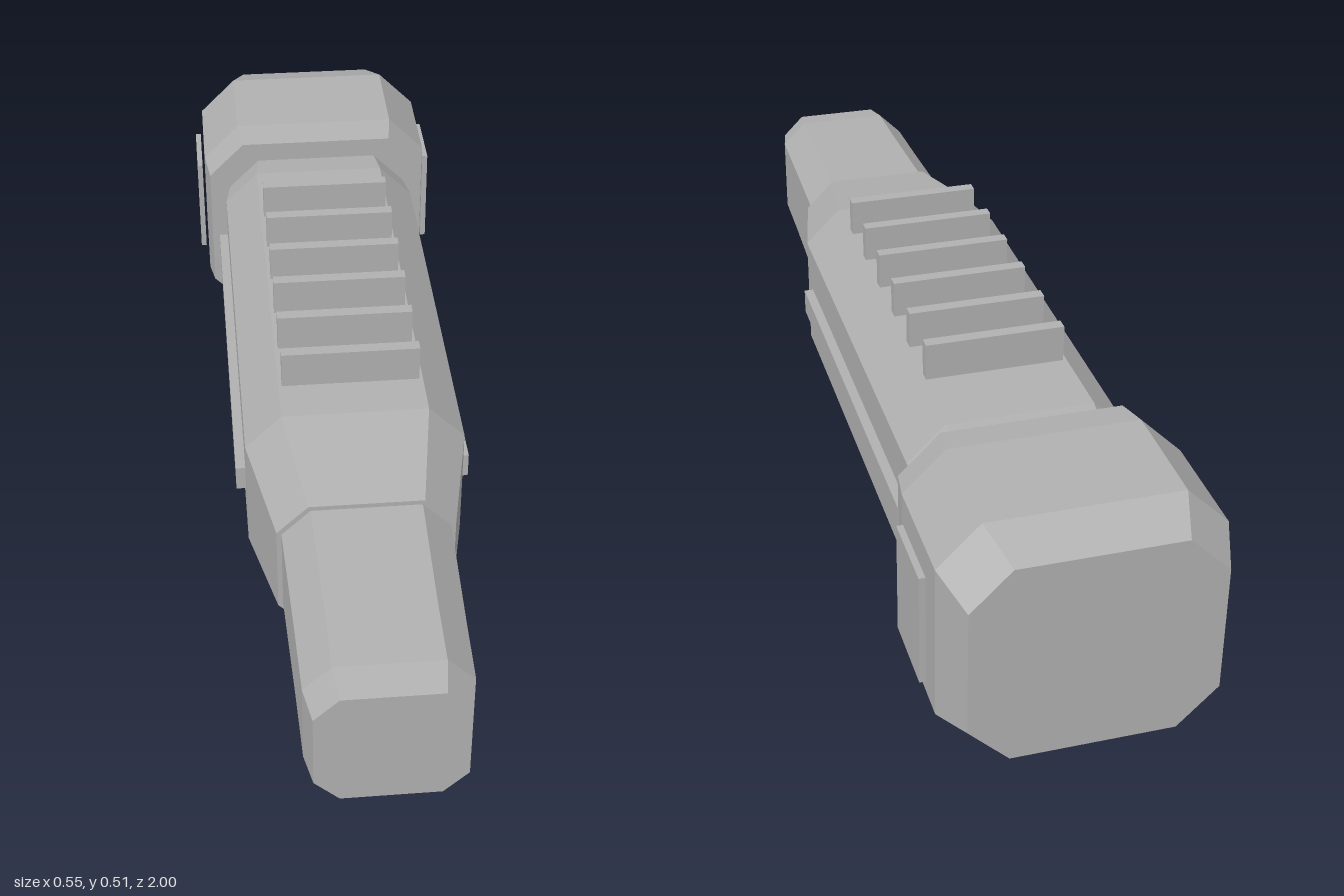
import * as THREE from 'three';

const CENTER_Y = 0.246;

// Closed solid from chamfered-rectangle sections [z, halfWidth, halfHeight, chamfer], ordered front to back
function chamferedLoft(sections) {
  const rings = sections.map(([z, w, h, c]) => [
    [w, c - h], [w, h - c], [w - c, h], [c - w, h],
    [-w, h - c], [-w, c - h], [c - w, -h], [w - c, -h],
  ].map(([x, y]) => [x, y + CENTER_Y, z]));
  const pos = [];
  const tri = (...corners) => corners.forEach((p) => pos.push(...p));
  for (let i = 0; i < rings.length - 1; i++) {
    const a = rings[i], b = rings[i + 1];
    for (let k = 0; k < 8; k++) {
      const n = (k + 1) % 8;
      tri(a[k], b[k], b[n]);
      tri(a[k], b[n], a[n]);
    }
  }
  const first = rings[0], last = rings[rings.length - 1];
  for (let k = 1; k < 7; k++) {
    tri(first[0], first[k], first[k + 1]);
    tri(last[0], last[k + 1], last[k]);
  }
  const geo = new THREE.BufferGeometry();
  geo.setAttribute('position', new THREE.Float32BufferAttribute(pos, 3));
  geo.computeVertexNormals();
  return geo;
}

export function createModel() {
  const model = new THREE.Group();
  model.name = 'handle';
  const grey = new THREE.MeshStandardMaterial({ color: 0xb0b0b0, flatShading: true });
  grey.name = 'grey';

  const add = (name, geo) => {
    const mesh = new THREE.Mesh(geo, grey);
    mesh.name = name;
    model.add(mesh);
  };
  // Box given by its extents on each axis
  const addBox = (name, [x0, x1], [y0, y1], [z0, z1]) => {
    const geo = new THREE.BoxGeometry(x1 - x0, y1 - y0, z1 - z0);
    geo.translate((x0 + x1) / 2, (y0 + y1) / 2, (z0 + z1) / 2);
    add(name, geo);
  };

  // Slim front nose
  add('nose', chamferedLoft([
    [1, 0.134, 0.1225, 0.045],
    [0.935, 0.147, 0.133, 0.05],
    [0.8, 0.15, 0.136, 0.052],
    [0.55, 0.157, 0.142, 0.054],
  ]));

  // Main body, flaring from the nose and tucking in at the rear
  add('body', chamferedLoft([
    [0.555, 0.166, 0.151, 0.059],
    [0.335, 0.212, 0.188, 0.071],
    [-0.55, 0.212, 0.188, 0.071],
    [-0.63, 0.2, 0.178, 0.067],
  ]));

  // Wide rear cap
  add('rearCap', chamferedLoft([
    [-0.622, 0.246, 0.222, 0.078],
    [-0.69, 0.256, 0.233, 0.079],
    [-0.91, 0.256, 0.233, 0.079],
    [-1, 0.225, 0.2, 0.075],
  ]));

  // Row of raised ribs on top
  for (let i = 0; i < 6; i++) {
    const z = 0.229 - i * 0.122;
    addBox('topRib', [-0.134, 0.134], [0.43, 0.507], [z - 0.012, z + 0.012]);
  }

  // Rail under the body
  addBox('bottomRail', [-0.067, 0.067], [0, 0.065], [-0.508, 0.424]);

  // Side strips and cap panels, mirrored
  for (const [side, s] of [['left', 1], ['right', -1]]) {
    const span = (a, b) => (s > 0 ? [a, b] : [-b, -a]);
    addBox(side + 'Strip', span(0.21, 0.231), [0.22, 0.272], [-0.553, 0.288]);
    addBox(side + 'CapPanel', span(0.262, 0.274), [0.135, 0.358], [-0.873, -0.721]);
  }
  return model;
}
